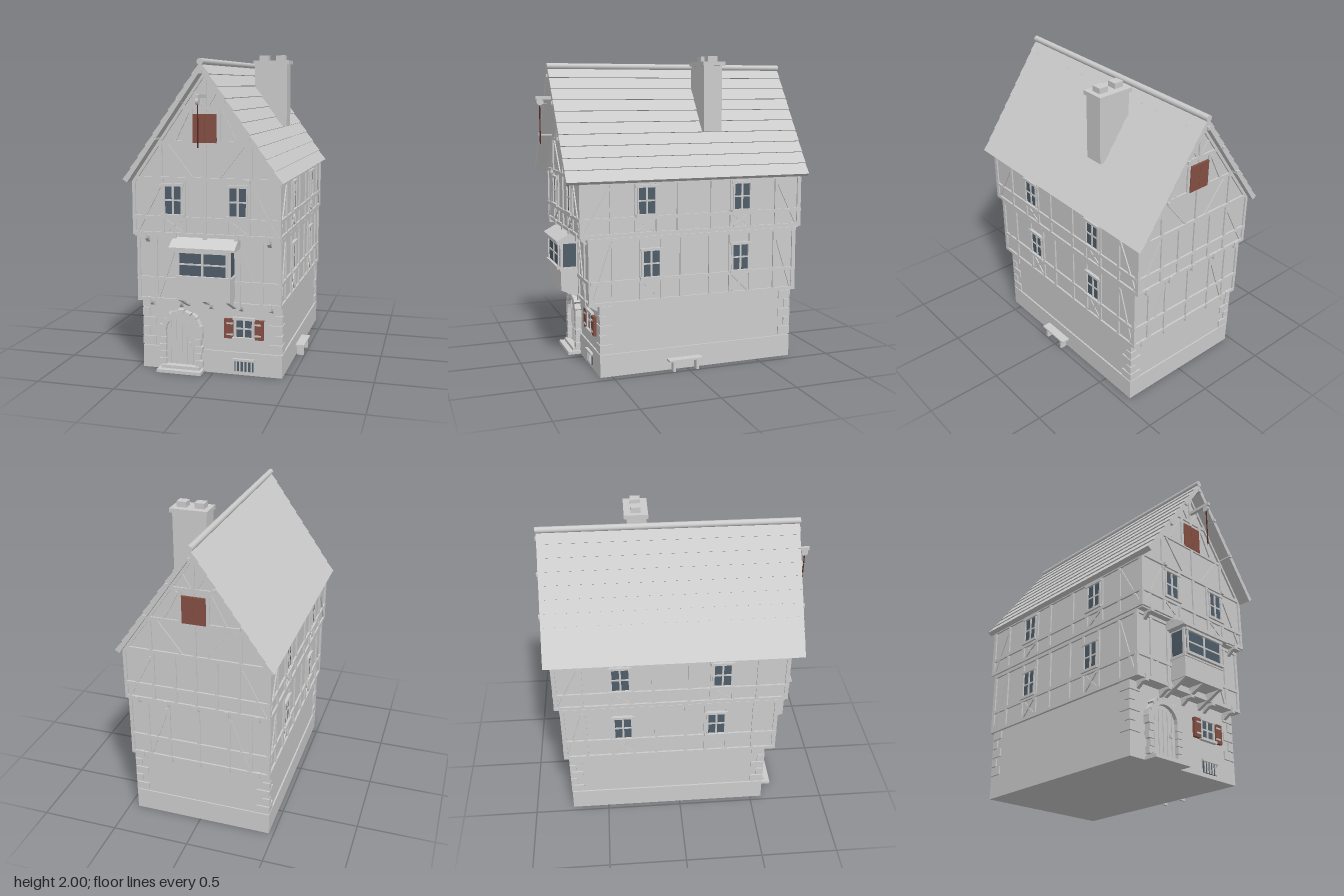
import * as THREE from 'three';

const mat = (name, color) => Object.assign(new THREE.MeshStandardMaterial({ color }), { name });

export function createModel() {
  const grey = mat('pale grey', 0xcccccc), red = mat('shutter red', 0x854f43);
  const blue = mat('glass blue', 0x4f5d69), brown = mat('rope brown', 0x5a2a20);
  const root = new THREE.Group();
  root.name = 'timberHouse';
  const house = new THREE.Group();
  house.name = 'house';
  house.position.x = -0.013;
  root.add(house);

  const add = (parent, name, geo, m, x = 0, y = 0, z = 0) => {
    const mesh = new THREE.Mesh(geo, m);
    mesh.name = name;
    mesh.position.set(x, y, z);
    parent.add(mesh);
    return mesh;
  };
  // box given by its limits
  const block = (p, name, m, x0, x1, y0, y1, z0, z1) =>
    add(p, name, new THREE.BoxGeometry(x1 - x0, y1 - y0, z1 - z0), m, (x0 + x1) / 2, (y0 + y1) / 2, (z0 + z1) / 2);
  const poly = pts => new THREE.Shape(pts.map(p => new THREE.Vector2(...p)));
  const prism = (pts, depth) => new THREE.ExtrudeGeometry(poly(pts), { depth, bevelEnabled: false });

  // a facade frame: local x runs along the wall, z points outwards
  const facade = (name, x, z, turn) => {
    const g = new THREE.Group();
    g.name = name;
    g.position.set(x, 0, z);
    g.rotation.y = turn;
    house.add(g);
    return g;
  };
  const beam = (g, x0, y0, x1, y1, w = 0.02, out = 0.01) => {
    const len = Math.hypot(x1 - x0, y1 - y0);
    const b = add(g, 'timber', new THREE.BoxGeometry(len, w, out + 0.01), grey, (x0 + x1) / 2, (y0 + y1) / 2, (out - 0.01) / 2);
    b.rotation.z = Math.atan2(y1 - y0, x1 - x0);
  };
  const cross = (g, x, y0, y1, h = 0.055) => {
    beam(g, x - h, y0, x + h, y1, 0.014, 0.008);
    beam(g, x - h, y1, x + h, y0, 0.014, 0.006);
  };
  const windowUnit = (g, x, y0, w, h, sill = 0.01) => {
    const y1 = y0 + h, a = x - w / 2, b = x + w / 2, t = 0.012;
    block(g, 'windowGlass', blue, a, b, y0, y1, 0, 0.006);
    for (const s of [a, b - t]) block(g, 'windowJamb', grey, s, s + t, y0, y1, 0, 0.016);
    block(g, 'windowSill', grey, a - sill, b + sill, y0 - t, y0 + 0.005, 0, 0.024);
    block(g, 'windowHead', grey, a - sill, b + sill, y1 - 0.005, y1 + t, 0, 0.02);
    block(g, 'windowMullion', grey, x - 0.006, x + 0.006, y0, y1, 0, 0.012);
    block(g, 'windowBar', grey, a, b, y0 + h / 2 - 0.005, y0 + h / 2 + 0.005, 0, 0.011);
  };

  // stone base and jettied storeys
  block(house, 'plinth', grey, -0.455, 0.455, 0, 0.145, -0.743, 0.578);
  block(house, 'groundFloor', grey, -0.445, 0.445, 0.14, 0.47, -0.735, 0.568);
  block(house, 'firstFloor', grey, -0.45, 0.45, 0.46, 0.885, -0.765, 0.637);
  add(house, 'upperFloorAndGable',
    prism([[-0.455, 0.88], [0.455, 0.88], [0.455, 1.23], [0, 1.885], [-0.455, 1.23]], 1.486), grey, 0, 0, -0.796);

  // corner stones
  for (const sx of [-1, 1]) for (const [zc, sz] of [[0.568, 1], [-0.735, -1]])
    for (let i = 0; i < 5; i++) {
      const long = i % 2 ? 0.045 : 0.085, y = 0.18 + i * 0.062;
      const g = new THREE.BoxGeometry(long, 0.054, long);
      add(house, 'cornerStone', g, grey, sx * (0.455 - long / 2), y, zc + sz * (0.01 - long / 2));
    }

  // side framing with windows
  const levels = [
    { y0: 0.47, rail: 0.605, y1: 0.872, win: 0.62, wz: [0.24, -0.373], ends: [0.637, -0.765], x: 0.45,
      posts: [0.488, 0.31, 0.168, 0.037, -0.16, -0.302, -0.445, -0.62] },
    { y0: 0.9, rail: 1.0, y1: 1.225, win: 1.02, wz: [0.27, -0.378], ends: [0.69, -0.796], x: 0.455,
      posts: [0.5, 0.34, 0.2, 0.06, -0.17, -0.305, -0.45, -0.625] },
  ];
  for (const s of [-1, 1]) for (const L of levels) {
    const g = facade('sideFraming', s * L.x, 0, s * Math.PI / 2), u = z => -s * z;
    for (const y of [L.y0, L.rail, L.y1]) beam(g, u(L.ends[0]), y, u(L.ends[1]), y, 0.022, 0.012);
    for (const z of [L.ends[0] - 0.006, L.ends[1] + 0.006, ...L.posts]) beam(g, u(z), L.y0, u(z), L.y1);
    beam(g, u(L.ends[0] - 0.02), L.y0 + 0.01, u(L.posts[0] + 0.01), L.y1 - 0.03, 0.018, 0.008);
    beam(g, u(L.ends[1] + 0.02), L.y0 + 0.01, u(L.posts[7] - 0.01), L.y1 - 0.03, 0.018, 0.008);
    for (const z of L.wz) {
      windowUnit(g, u(z), L.win, 0.13, 0.175);
      cross(g, u(z), L.y0 + 0.015, L.rail - 0.01);
    }
  }

  // front and back framing
  for (const front of [true, false]) {
    const s = front ? 1 : -1, turn = front ? 0 : Math.PI;
    const low = facade('firstFloorFraming', 0, front ? 0.637 : -0.765, turn);
    const up = facade('upperFraming', 0, front ? 0.69 : -0.796, turn);
    for (const y of [0.47, 0.605, 0.872]) beam(low, -0.46, y, 0.46, y, 0.022, 0.012);
    for (const y of [0.9, 1.0, 1.24]) beam(up, -0.465, y, 0.465, y, 0.022, 0.012);
    beam(up, -0.3, 1.46, 0.3, 1.46);
    beam(up, -0.15, 1.67, 0.15, 1.67);
    beam(low, 0, 0.47, 0, 0.872);
    beam(up, 0, 0.9, 0, 1.46);
    beam(up, 0, 1.64, 0, 1.86);
    for (const m of [-1, 1]) {
      for (const x of [0.45, 0.337, 0.195]) beam(low, m * x, 0.47, m * x, 0.872);
      beam(low, m * 0.325, 0.48, m * 0.205, 0.83, 0.018, 0.008);
      for (const x of [0.455, 0.272, 0.132]) beam(up, m * x, 0.9, m * x, 1.24);
      beam(up, m * 0.435, 0.91, m * 0.285, 1.2, 0.018, 0.008);
      // gable timbers
      beam(up, m * 0.45, 1.23, 0, 1.875, 0.025, 0.012);
      beam(up, m * 0.28, 1.24, m * 0.28, 1.47);
      beam(up, m * 0.085, 1.46, m * 0.085, 1.67);
      beam(up, m * 0.085, 1.25, m * 0.24, 1.45, 0.018, 0.008);
      beam(up, m * 0.19, 1.47, m * 0.1, 1.65, 0.018, 0.008);
      beam(up, m * 0.02, 1.68, m * 0.07, 1.76, 0.016, 0.008);
      if (front) {
        windowUnit(up, m * 0.203, 1.02, 0.125, 0.18);
        cross(up, m * 0.203, 0.912, 0.99);
      }
    }
    // loft hatch with two leaves
    for (const m of [-1, 1]) block(up, 'loftHatch', red, m * 0.037 - 0.036, m * 0.037 + 0.036, 1.46, 1.63, 0, 0.014);
    // jetty brackets
    for (const [y, g, d, xs] of [[0.46, low, 0.07, [-0.387, -0.194, 0, 0.194, 0.387]], [0.885, up, 0.055, [-0.387, -0.194, 0, 0.194, 0.387]]])
      for (const x of xs) {
        block(g, 'joistEnd', grey, x - 0.013, x + 0.013, y - 0.018, y + 0.025, -d, 0.018);
        const b = add(g, 'jettyBracket', prism([[0, 0], [d, 0], [d, -0.045]], 0.024), grey, x + 0.012, y - 0.005, 0.005);
        b.rotation.y = Math.PI / 2;
        b.position.x = x - 0.012;
      }
  }

  // tiled roof: stepped outer profile on both slopes
  const rows = 10, right = [];
  for (let i = 0; i < rows; i++) for (const [k, off] of [[i, 0.007], [i + 1, 0]]) {
    const t = k / rows;
    right.push([0.488 * (1 - t) + off * 0.82, 1.235 + 0.695 * t + off * 0.57]);
  }
  const mirror = right.slice(0, -1).reverse().map(([x, y]) => [-x, y]);
  add(house, 'tiledRoof', prism([...right, ...mirror, [-0.465, 1.22], [0, 1.882], [0.465, 1.22]], 1.63), grey, 0, 0, -0.848);
  const ridge = add(house, 'ridgeCap', new THREE.CylinderGeometry(0.02, 0.02, 1.64, 12), grey, 0, 1.934, -0.033);
  ridge.rotation.x = Math.PI / 2;
  for (const [x, y] of [[-0.285, 1.49], [-0.14, 1.705], [0, 1.875], [0.14, 1.705], [0.285, 1.49], [-0.27, 1.235], [0.27, 1.235]]) {
    const reach = y < 1.3 ? 0.72 : 0.793;
    block(house, 'purlin', grey, x - 0.01, x + 0.01, y - 0.01, y + 0.01, -0.066 - reach, reach);
  }

  // chimney
  block(house, 'chimney', grey, 0.1, 0.323, 1.52, 1.945, -0.29, -0.165);
  block(house, 'chimneyCap', grey, 0.09, 0.336, 1.938, 1.965, -0.308, -0.155);
  for (const x of [0.155, 0.271]) block(house, 'chimneyPot', grey, x - 0.032, x + 0.032, 1.96, 2, -0.264, -0.2);

  // hoist
  block(house, 'hoistBeam', grey, -0.01, 0.01, 1.725, 1.745, 0.68, 0.862);
  const wheel = add(house, 'hoistPulley', new THREE.CylinderGeometry(0.021, 0.021, 0.016, 14), grey, 0, 1.708, 0.835);
  wheel.rotation.z = Math.PI / 2;
  add(house, 'hoistRope', new THREE.CylinderGeometry(0.004, 0.004, 0.26, 8), brown, 0, 1.57, 0.835);

  // oriel bay
  const bay = facade('orielBay', 0, 0.753, 0);
  block(bay, 'bayBody', grey, -0.163, 0.163, 0.505, 0.83, -0.13, -0.008);
  block(bay, 'bayPanel', grey, -0.168, 0.168, 0.505, 0.635, -0.12, 0);
  block(bay, 'baySill', grey, -0.172, 0.172, 0.635, 0.65, -0.12, 0.006);
  windowUnit(bay, 0, 0.658, 0.315, 0.15, 0.008);
  for (const m of [-1, 1]) {
    block(bay, 'baySideGlass', blue, m * 0.165 - 0.004, m * 0.165 + 0.004, 0.66, 0.81, -0.1, -0.015);
    block(bay, 'bayCornerPost', grey, m * 0.164 - 0.008, m * 0.164 + 0.008, 0.64, 0.83, -0.014, 0.003);
  }
  const canopy = add(bay, 'bayRoof', prism([[0.032, 0.822], [0.032, 0.836], [-0.06, 0.885], [-0.12, 0.885], [-0.12, 0.822]], 0.41), grey, 0.205);
  canopy.rotation.y = -Math.PI / 2;
  for (const x of [-0.15, 0, 0.15]) {
    const b = add(bay, 'bayBracket', prism([[0, 0.505], [-0.19, 0.505], [-0.19, 0.415]], 0.024), grey, x + 0.012, 0, -0.005);
    b.rotation.y = -Math.PI / 2;
  }

  // arched door with stone surround
  const door = facade('entrance', -0.193, 0.568, 0);
  const arch = new THREE.Shape();
  arch.moveTo(-0.1, 0.03);
  arch.lineTo(0.1, 0.03);
  arch.lineTo(0.1, 0.255);
  arch.absarc(0, 0.255, 0.1, 0, Math.PI);
  add(door, 'doorLeaf', new THREE.ExtrudeGeometry(arch, { depth: 0.017, bevelEnabled: false, curveSegments: 16 }), grey);
  for (let i = -2; i <= 2; i++) block(door, 'doorBatten', grey, i * 0.036 - 0.003, i * 0.036 + 0.003, 0.03, 0.33, 0, 0.022);
  block(door, 'doorLatch', grey, 0.05, 0.065, 0.17, 0.19, 0, 0.03);
  for (const m of [-1, 1]) for (let i = 0; i < 5; i++) {
    const w = i % 2 ? 0.034 : 0.044;
    block(door, 'doorJambStone', grey, m * (0.098 + w / 2) - w / 2, m * (0.098 + w / 2) + w / 2, 0.035 + i * 0.046, 0.077 + i * 0.046, 0, 0.042);
  }
  for (let i = 0; i < 9; i++) {
    const a = (i + 0.5) * Math.PI / 9, len = i % 2 ? 0.038 : 0.046;
    const v = add(door, 'archStone', new THREE.BoxGeometry(len, 0.041, 0.042), grey,
      Math.cos(a) * (0.098 + len / 2), 0.257 + Math.sin(a) * (0.098 + len / 2), 0.021);
    v.rotation.z = a;
  }
  block(door, 'lowerStep', grey, -0.145, 0.145, 0, 0.02, 0, 0.095);
  block(door, 'upperStep', grey, -0.125, 0.125, 0.02, 0.04, 0, 0.06);

  // ground floor window with shutters, and cellar light
  const low = facade('groundWindow', 0.212, 0.568, 0);
  windowUnit(low, 0, 0.24, 0.125, 0.12);
  for (const m of [-1, 1]) {
    block(low, 'shutter', red, m * 0.098 - 0.028, m * 0.098 + 0.028, 0.235, 0.36, 0, 0.02);
    for (const y of [0.262, 0.333]) block(low, 'shutterStrap', grey, m * 0.09 - 0.02, m * 0.09 + 0.02, y - 0.005, y + 0.005, 0.018, 0.024);
  }
  block(low, 'cellarGlass', blue, -0.06, 0.06, 0.025, 0.095, 0.009, 0.016);
  block(low, 'cellarLintel', grey, -0.07, 0.07, 0.093, 0.107, 0, 0.028);
  for (let i = -2; i <= 2; i++) block(low, 'cellarBar', grey, i * 0.024 - 0.004, i * 0.024 + 0.004, 0.025, 0.095, 0.008, 0.022);

  // bench
  block(house, 'benchSeat', grey, 0.457, 0.515, 0.066, 0.078, -0.092, 0.136);
  for (const z of [-0.058, 0.1]) block(house, 'benchLeg', grey, 0.463, 0.508, 0, 0.068, z - 0.008, z + 0.008);

  return root;
}
